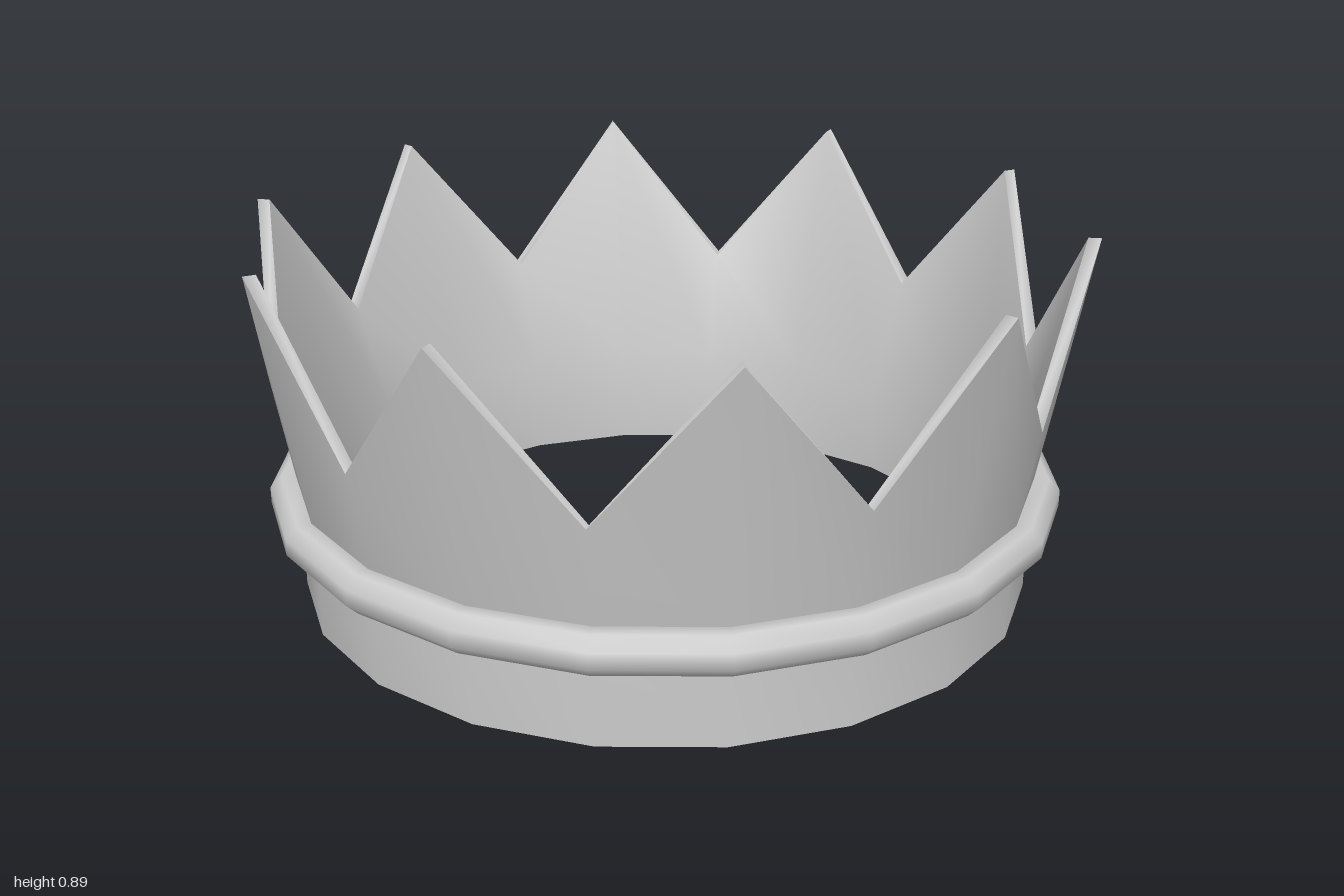
import * as THREE from 'three';
import { mergeVertices, toCreasedNormals } from 'three/addons/utils/BufferGeometryUtils.js';

const SIDES = 20; // ten points and ten notches alternate around the ring
const material = new THREE.MeshStandardMaterial({ color: 0xcccccc });

// Revolves rings of [radius, y] around the axis. A ring may add a second
// [radius, y] pair, which is used at every other corner (the notches).
function band(name, rings, crease = Math.PI / 3.5) {
  const lathe = new THREE.LatheGeometry(rings.map(([r, y]) => new THREE.Vector2(r, y)), SIDES);
  const pos = lathe.attributes.position;
  for (let i = 0; i <= SIDES; i++) {
    const angle = ((i % SIDES) / SIDES) * Math.PI * 2;
    // corner 5 lies on +x and is a point, so even corners are notches
    const notch = i % 2 === 0;
    rings.forEach(([r, y, notchR = r, notchY = y], j) => {
      const radius = notch ? notchR : r;
      pos.setXYZ(i * rings.length + j, Math.sin(angle) * radius, notch ? notchY : y, Math.cos(angle) * radius);
    });
  }
  lathe.deleteAttribute('normal');
  lathe.deleteAttribute('uv');
  const mesh = new THREE.Mesh(toCreasedNormals(mergeVertices(lathe), crease), material);
  mesh.name = name;
  return mesh;
}

export function createModel() {
  const crown = new THREE.Group();
  crown.name = 'crown';

  // zigzag top edge: point radius and height, then notch radius and height
  const outerEdge = [1.0, 0.886, 0.934, 0.522];
  const innerEdge = [0.97, 0.886, 0.905, 0.518];

  crown.add(
    band('baseBand', [[0.885, 0], [0.885, 0.245]]),
    band('outerWall', [[0.885, 0.245], outerEdge]),
    band('zigzagRim', [outerEdge, innerEdge], Math.PI), // smooth over points and notches
    band('innerWall', [innerEdge, [0.808, 0.245], [0.808, 0]]),
    band('bottomRim', [[0.808, 0], [0.885, 0]])
  );

  // moulding: an eight-sided tube around the band
  const moulding = [];
  for (let k = 0; k <= 8; k++) {
    const a = ((k - 0.5) / 8) * Math.PI * 2;
    moulding.push([0.907 + 0.051 * Math.cos(a), 0.239 + 0.051 * Math.sin(a)]);
  }
  crown.add(band('moulding', moulding, Math.PI / 3));

  return crown;
}
